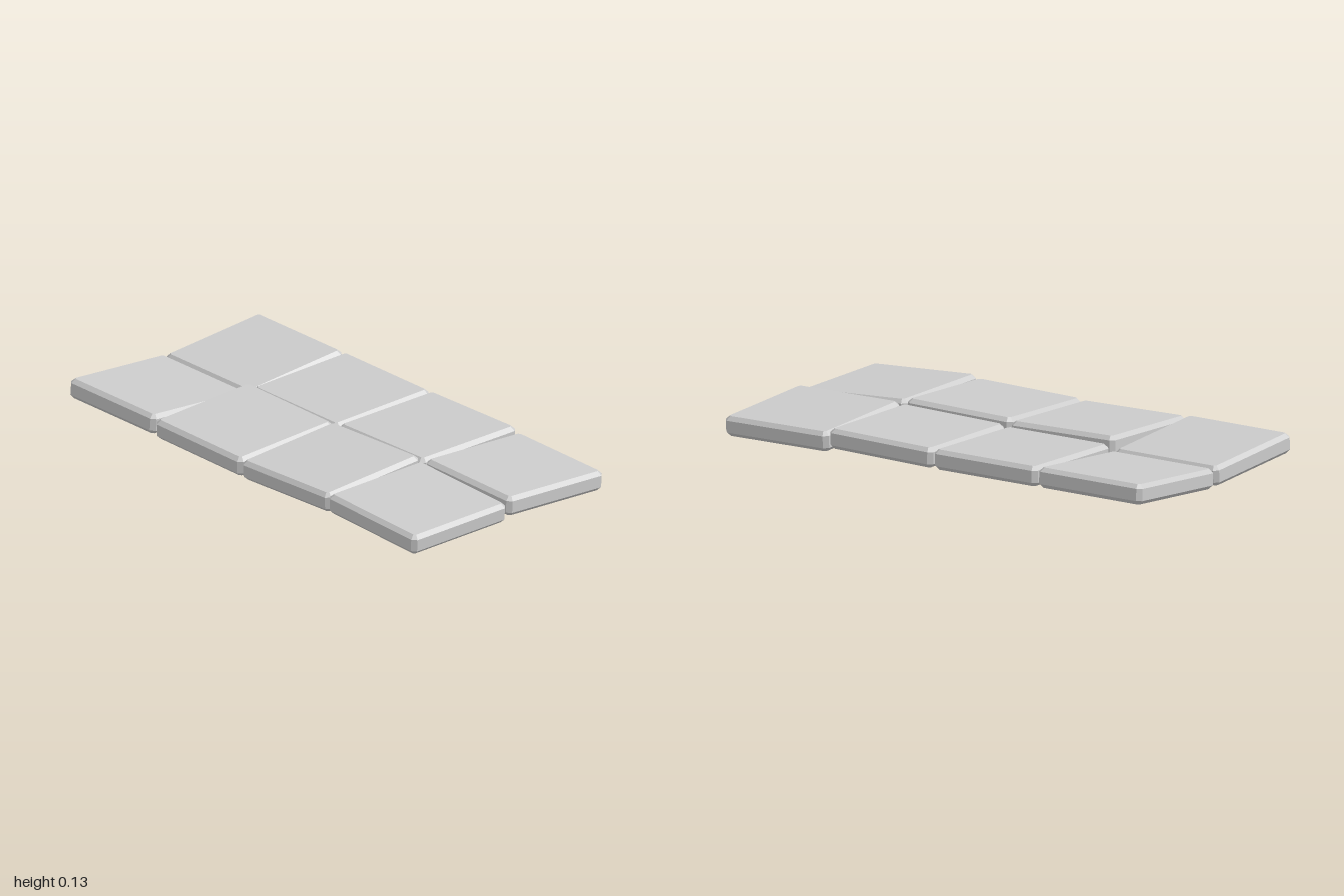
import * as THREE from 'three';

const SIZE = 0.493, THICK = 0.08, BEVEL = 0.016;

// Square slab with every edge and corner chamfered, centred on its own origin
function slabGeometry() {
  const h = SIZE / 2 - BEVEL, c = 0.008;
  const outline = [
    [h, -h + c], [h, h - c], [h - c, h], [-h + c, h],
    [-h, h - c], [-h, -h + c], [-h + c, -h], [h - c, -h],
  ].map(([x, y]) => new THREE.Vector2(x, y));
  const geometry = new THREE.ExtrudeGeometry(new THREE.Shape(outline), {
    depth: THICK - 2 * BEVEL,
    bevelEnabled: true, bevelSegments: 1, bevelSize: BEVEL, bevelThickness: BEVEL,
  });
  geometry.center();
  geometry.rotateX(-Math.PI / 2);
  return geometry;
}

export function createModel() {
  const group = new THREE.Group();
  group.name = 'pavingSlabs';
  const geometry = slabGeometry();
  const material = new THREE.MeshStandardMaterial({ color: 0xcccccc, flatShading: true });

  // Each slab, from -x to +x: centre height, then pitch, yaw and roll of its uneven bedding
  const rows = [
    { name: 'backSlab', z: -0.256, slabs: [
      [0.066, 0.075, 0, -0.008],
      [0.073, 0.02, 0, -0.01],
      [0.077, 0.005, 0, 0.01],
      [0.069, -0.05, 0, -0.02],
    ] },
    { name: 'frontSlab', z: 0.243, slabs: [
      [0.069, -0.075, 0, -0.008],
      [0.08, 0.037, 0.008, -0.026],
      [0.082, 0.045, 0.025, 0.014],
      [0.071, 0, 0.02, -0.06],
    ] },
  ];
  for (const { name, z, slabs } of rows) {
    slabs.forEach(([y, pitch, yaw, roll], i) => {
      const slab = new THREE.Mesh(geometry, material);
      slab.name = name + (i + 1);
      slab.position.set(-0.752 + i * 0.499, y, z);
      slab.rotation.set(pitch, yaw, roll);
      group.add(slab);
    });
  }
  return group;
}
